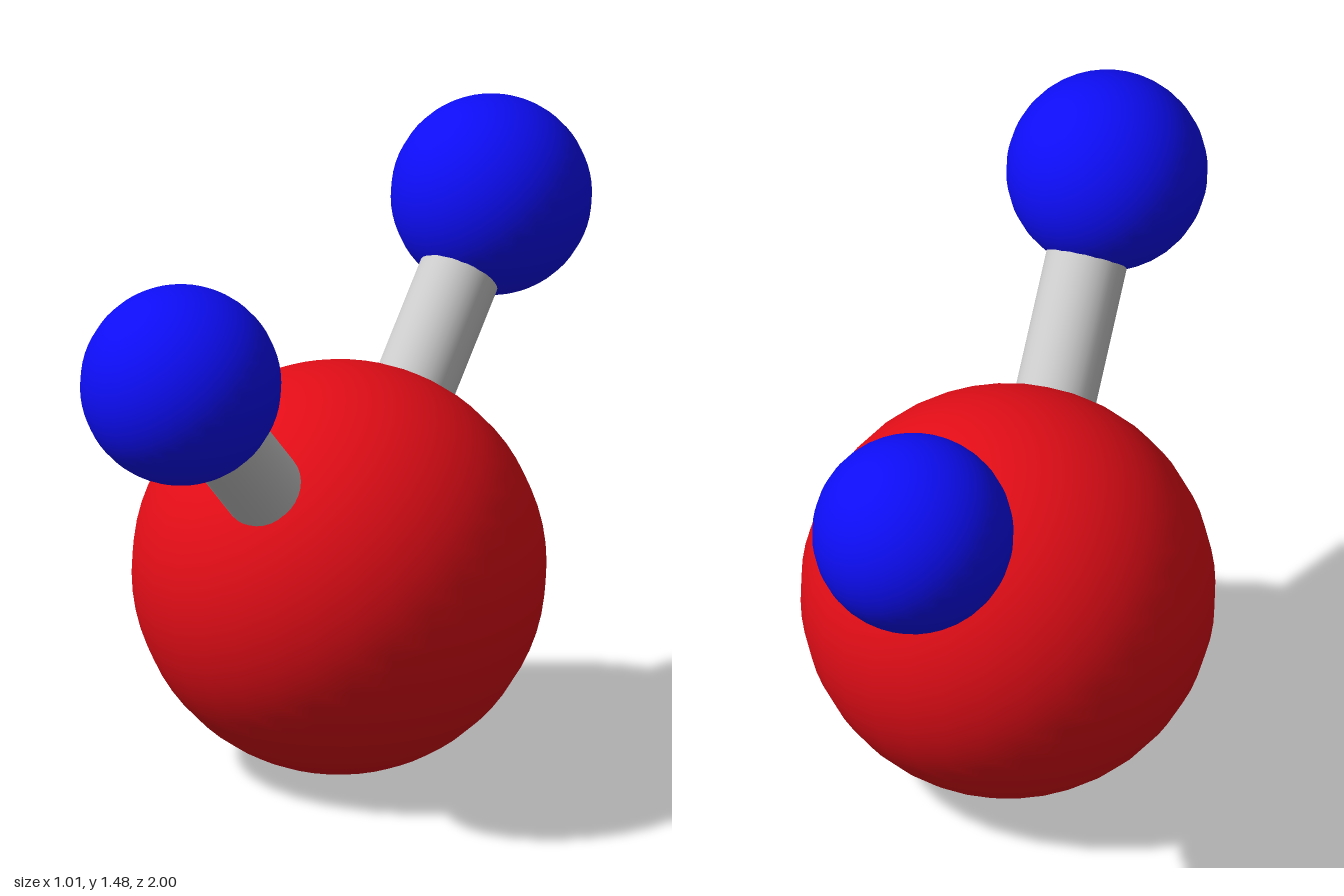
import * as THREE from 'three';

export function createModel() {
  const model = new THREE.Group();
  const red = new THREE.MeshStandardMaterial({ color: 0xe30d17 });
  const blue = new THREE.MeshStandardMaterial({ color: 0x0d0df5 });
  const grey = new THREE.MeshStandardMaterial({ color: 0xcccccc });

  const addBall = (name, radius, material, y, z) => {
    const ball = new THREE.Mesh(new THREE.SphereGeometry(radius, 32, 32), material);
    ball.name = name;
    ball.position.set(0, y, z);
    model.add(ball);
  };

  // Large central atom
  addBall('centralAtom', 0.505, red, 0.505, -0.015);

  // Two small atoms, each on a rod leaning out at 45 degrees
  for (const [side, sign] of [['front', 1], ['back', -1]]) {
    addBall(side + 'Atom', 0.245, blue, 1.23, sign * 0.755);

    const rod = new THREE.Mesh(new THREE.CylinderGeometry(0.1, 0.1, 0.8, 32), grey);
    rod.name = side + 'Bond';
    rod.position.set(0, 0.945, sign * 0.47);
    rod.rotation.x = sign * Math.PI / 4;
    model.add(rod);
  }
  return model;
}
